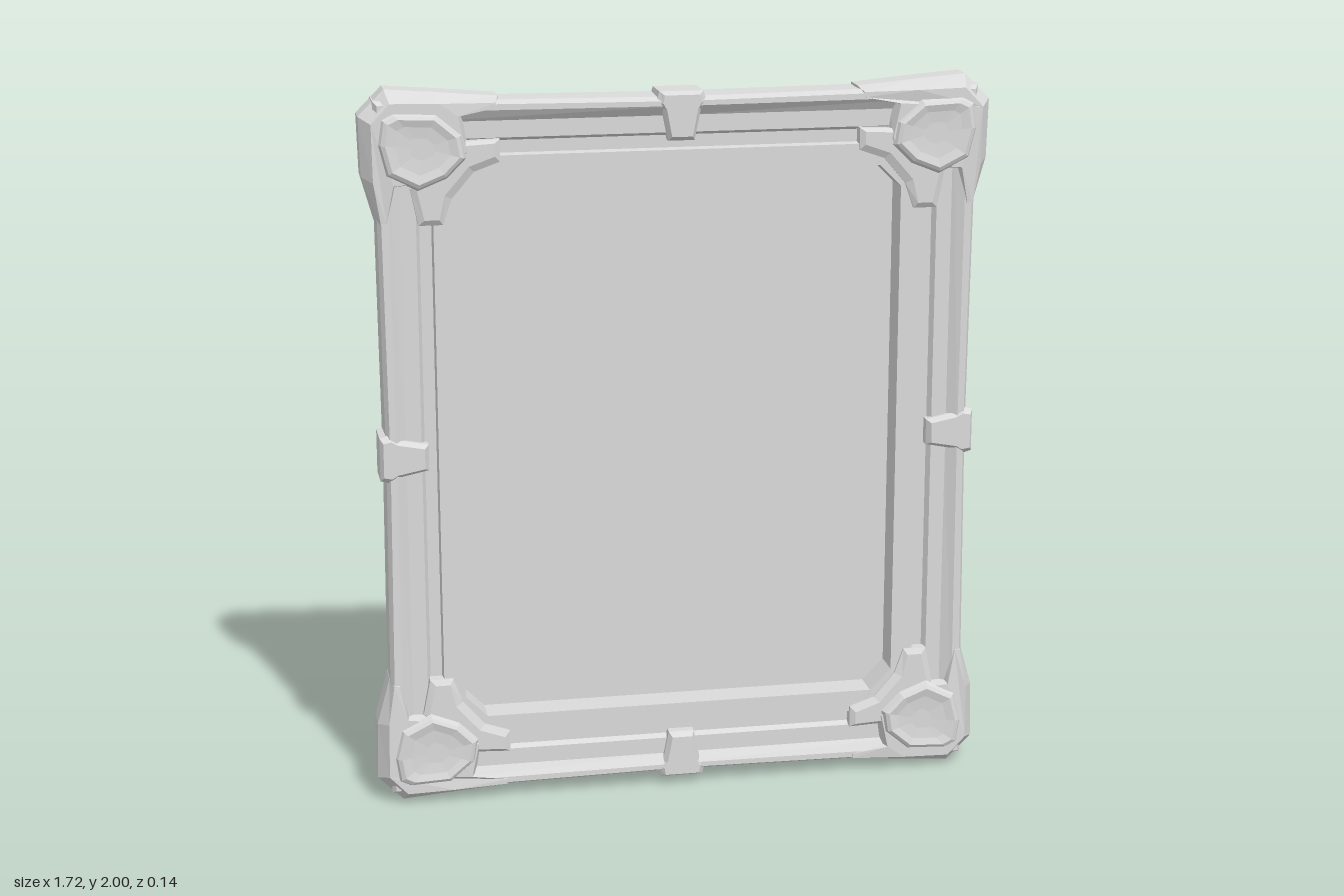
import * as THREE from 'three';

const grey = new THREE.MeshStandardMaterial({ color: 0xdadada });
grey.name = 'stone grey';

// Lofts matching outlines (counter-clockwise [x, y, z] loops, back to front) and caps both ends.
function loft(name, loops, sx = 1, sy = 1) {
  const rings = loops.map((loop) => {
    const ring = loop.map(([x, y, z]) => new THREE.Vector3(x * sx, y * sy, z));
    return sx * sy < 0 ? ring.reverse() : ring;
  });
  const pts = [];
  for (let k = 0; k + 1 < rings.length; k++) {
    const a = rings[k], b = rings[k + 1], n = a.length;
    for (let i = 0; i < n; i++) {
      const j = (i + 1) % n;
      pts.push(a[i], a[j], b[j], a[i], b[j], b[i]);
    }
  }
  const cap = (ring, front) => {
    const flat = ring.map((p) => new THREE.Vector2(p.x, p.y));
    for (const [i, j, k] of THREE.ShapeUtils.triangulateShape(flat, [])) {
      if (front) pts.push(ring[i], ring[j], ring[k]);
      else pts.push(ring[i], ring[k], ring[j]);
    }
  };
  cap(rings[0], false);
  cap(rings[rings.length - 1], true);
  const geometry = new THREE.BufferGeometry().setFromPoints(pts);
  geometry.computeVertexNormals(); // unshared corners keep the facets flat
  const mesh = new THREE.Mesh(geometry, grey);
  mesh.name = name;
  return mesh;
}

// Rectangle whose sides bow inward at their middles
const rect = (w, h, z, bow = 0) => [
  [w, -h, z], [w - bow, 0, z], [w, h, z], [0, h - bow, z],
  [-w, h, z], [-w + bow, 0, z], [-w, -h, z], [0, -h + bow, z],
];
const at = (z, outline) => outline.map(([x, y]) => [x, y, z]);
// Scales an outline about the middle of the corner pillow
const scaled = (s, outline) => outline.map(([x, y]) => [0.695 + (x - 0.695) * s, 0.85 + (y - 0.85) * s]);

const BACK = -0.07;

// Outlines for one corner
const cornerBase = [[0.82, 0.64], [0.856, 0.77], [0.86, 0.93], [0.79, 1], [0.66, 0.99], [0.49, 0.975],
  [0.49, 0.94], [0.58, 0.925], [0.565, 0.83], [0.65, 0.75], [0.765, 0.74], [0.785, 0.64]];
const cornerTop = [[0.81, 0.65, 0.042], [0.828, 0.76, 0.05], [0.83, 0.915, 0.05], [0.78, 0.968, 0.05],
  [0.65, 0.965, 0.05], [0.5, 0.962, 0.04], [0.5, 0.948, 0.04], [0.6, 0.93, 0.05],
  [0.58, 0.835, 0.05], [0.66, 0.76, 0.05], [0.775, 0.75, 0.05], [0.795, 0.65, 0.042]];
const pillow = [[0.79, 0.78], [0.81, 0.86], [0.8, 0.925], [0.77, 0.94], [0.66, 0.935], [0.595, 0.88],
  [0.585, 0.82], [0.635, 0.77], [0.71, 0.74]];
const bracket = [[0.645, 0.64], [0.71, 0.64], [0.73, 0.74], [0.6, 0.86], [0.49, 0.865], [0.49, 0.805],
  [0.56, 0.78], [0.62, 0.71]];
const bracketTop = [[0.655, 0.655], [0.695, 0.655], [0.715, 0.745], [0.6, 0.85], [0.505, 0.855], [0.505, 0.82],
  [0.575, 0.795], [0.64, 0.72]];
const chamfer = [[0.61, 0.7], [0.66, 0.68], [0.66, 0.81], [0.53, 0.81], [0.55, 0.76]];

export function createModel() {
  const model = new THREE.Group();
  model.name = 'pictureFrame';
  const frame = new THREE.Group();
  frame.name = 'frame';
  frame.position.y = 1;
  model.add(frame);

  // Stepped rails, a raised inner lip and the deep panel
  frame.add(loft('railsAndPanel', [
    rect(0.822, 0.972, BACK, 0.008),
    rect(0.822, 0.972, 0.02, 0.01),
    rect(0.812, 0.962, 0.039, 0.01),
    rect(0.79, 0.944, 0.039, 0.005),
    rect(0.757, 0.912, 0.018),
    rect(0.715, 0.866, 0.018),
    rect(0.705, 0.857, 0.002),
    rect(0.673, 0.823, 0.002),
    rect(0.67, 0.82, 0.028),
    rect(0.61, 0.76, 0.028),
    rect(0.61, 0.76, -0.06),
  ]));

  // Four mirrored corners
  for (const sx of [1, -1]) for (const sy of [1, -1]) {
    const corner = new THREE.Group();
    corner.name = 'corner';
    corner.add(
      loft('cornerBlock', [at(BACK, cornerBase), at(0.002, cornerBase), cornerTop], sx, sy),
      loft('cornerPillow', [
        at(0.045, scaled(1.04, pillow)),
        at(0.06, scaled(0.97, pillow)),
        at(0.066, scaled(0.87, pillow)),
        at(0.06, scaled(0.65, pillow)),
        at(0.057, scaled(0.3, pillow)),
      ], sx, sy),
      loft('innerBracket', [at(-0.03, bracket), at(0.035, bracket), at(0.045, bracketTop)], sx, sy),
      loft('lipChamfer', [at(-0.065, chamfer), at(0.029, chamfer)], sx, sy),
    );
    frame.add(corner);
  }

  // Clasps at the middle of each rail, drawn for the top and turned to the others
  const claspBase = [[0.036, -0.12], [0.054, -0.03], [0.068, -0.015], [0.06, 0.013],
    [-0.06, 0.013], [-0.068, -0.015], [-0.054, -0.03], [-0.036, -0.12]];
  const claspTop = [[0.028, -0.108], [0.042, -0.035], [0.052, -0.018], [0.048, 0.004],
    [-0.048, 0.004], [-0.052, -0.018], [-0.042, -0.035], [-0.028, -0.108]];
  for (let i = 0; i < 4; i++) {
    const clasp = loft('clasp', [at(BACK, claspBase), at(0.028, claspBase), at(0.045, claspTop)]);
    const turn = (i * Math.PI) / 2, reach = i % 2 ? 0.817 : 0.965;
    clasp.rotation.z = turn;
    clasp.position.set(-Math.sin(turn) * reach, Math.cos(turn) * reach, 0);
    frame.add(clasp);
  }
  return model;
}
